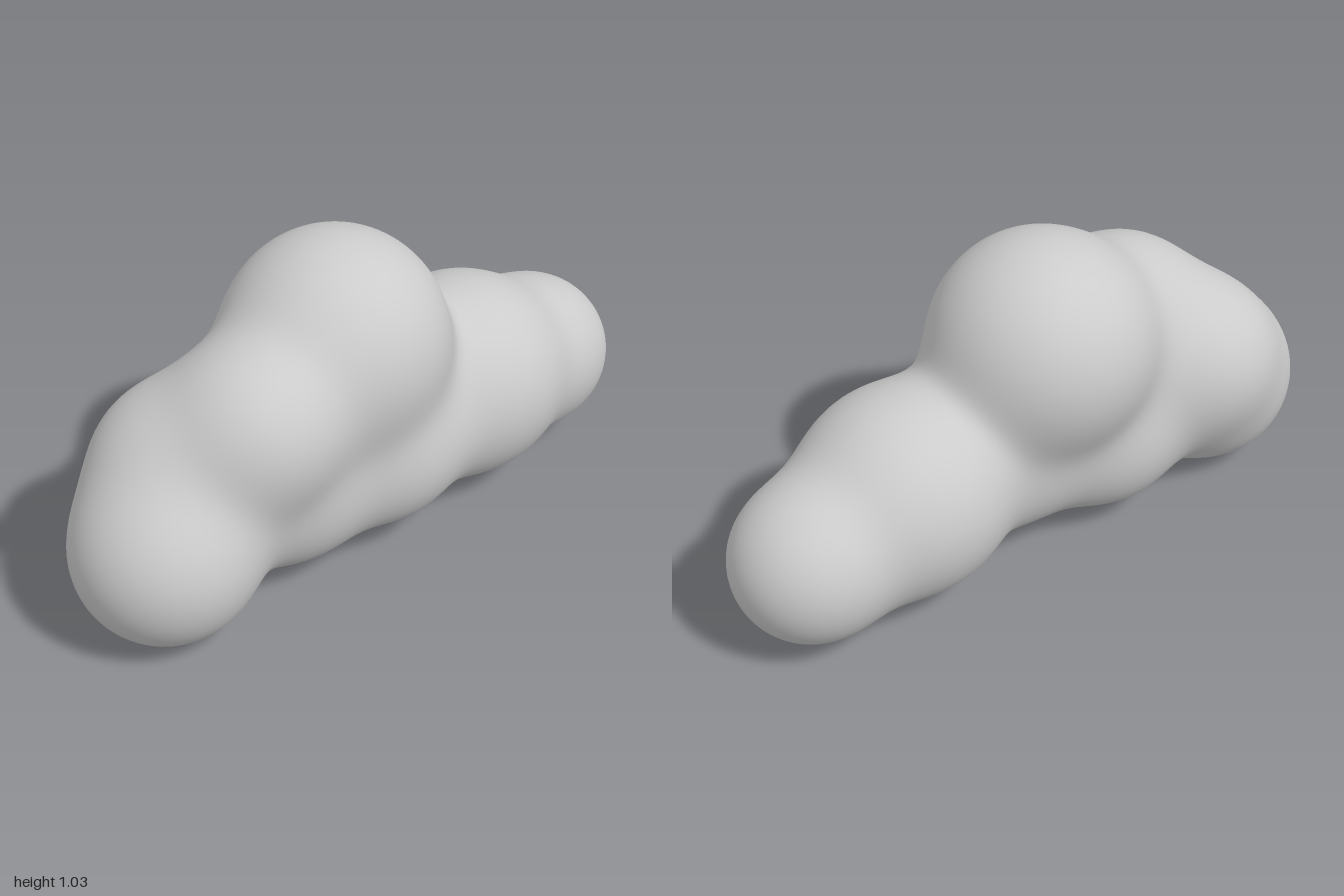
import * as THREE from 'three';

// Lobes that melt together: [x, y, z, radius]
const LOBES = [
  [0.07, 0.278, 0.725, 0.273],  // front foot lobe
  [-0.045, 0.46, 0.6, 0.238],   // front shoulder, leaning to one side
  [0.09, 0.6, 0.42, 0.244],     // upper shoulder, leaning to the other
  [-0.01, 0.697, 0.065, 0.333], // tall dome
  [0.01, 0.305, 0.28, 0.257],   // lower belly, front
  [0.05, 0.325, -0.04, 0.248],  // lower belly, middle
  [-0.028, 0.36, -0.42, 0.315], // rear hump
  [-0.08, 0.28, -0.757, 0.238], // tail lobe
];
const BLEND = 0.06;

// Soft union of all lobes, negative inside
function field(x, y, z) {
  let sum = 0;
  for (const [a, b, c, r] of LOBES) sum += Math.exp((r - Math.hypot(x - a, y - b, z - c)) / BLEND);
  return -BLEND * Math.log(sum);
}

function gradient(p) {
  const e = 0.002;
  return new THREE.Vector3(
    field(p.x + e, p.y, p.z) - field(p.x - e, p.y, p.z),
    field(p.x, p.y + e, p.z) - field(p.x, p.y - e, p.z),
    field(p.x, p.y, p.z + e) - field(p.x, p.y, p.z - e),
  ).divideScalar(2 * e);
}

// Surface net: one vertex per crossed cell, one quad per crossed grid edge
function blobGeometry(h) {
  const min = [-0.45, -0.1, -1.1];
  const n = [0.9, 1.25, 2.2].map((size) => Math.ceil(size / h) + 1);
  const step = [1, n[0], n[0] * n[1]];
  const total = n[0] * n[1] * n[2];
  const values = new Float32Array(total);
  const at = (i, j, k) => i + j * step[1] + k * step[2];
  for (let k = 0; k < n[2]; k++)
    for (let j = 0; j < n[1]; j++)
      for (let i = 0; i < n[0]; i++)
        values[at(i, j, k)] = field(min[0] + i * h, min[1] + j * h, min[2] + k * h);

  const cellVertex = new Int32Array(total).fill(-1);
  const positions = [], normals = [], index = [];
  const corner = (c) => [c & 1, (c >> 1) & 1, (c >> 2) & 1];

  for (let k = 0; k < n[2] - 1; k++)
    for (let j = 0; j < n[1] - 1; j++)
      for (let i = 0; i < n[0] - 1; i++) {
        const p = new THREE.Vector3();
        let hits = 0;
        for (let c = 0; c < 8; c++)
          for (const bit of [1, 2, 4]) {
            if (c & bit) continue;
            const a = corner(c), b = corner(c | bit);
            const va = values[at(i + a[0], j + a[1], k + a[2])];
            const vb = values[at(i + b[0], j + b[1], k + b[2])];
            if ((va < 0) === (vb < 0)) continue;
            p.add(new THREE.Vector3(...a).lerp(new THREE.Vector3(...b), va / (va - vb)));
            hits++;
          }
        if (!hits) continue;
        p.divideScalar(hits).add(new THREE.Vector3(i, j, k)).multiplyScalar(h);
        p.add(new THREE.Vector3(...min));
        // settle the vertex exactly on the surface
        for (let s = 0; s < 2; s++) {
          const g = gradient(p);
          p.addScaledVector(g, -field(p.x, p.y, p.z) / Math.max(g.lengthSq(), 0.2));
        }
        cellVertex[at(i, j, k)] = positions.length / 3;
        positions.push(p.x, p.y, p.z);
        normals.push(...gradient(p).normalize().toArray());
      }

  for (let k = 1; k < n[2] - 1; k++)
    for (let j = 1; j < n[1] - 1; j++)
      for (let i = 1; i < n[0] - 1; i++) {
        const o = at(i, j, k);
        for (let axis = 0; axis < 3; axis++) {
          const inside = values[o] < 0;
          if (inside === (values[o + step[axis]] < 0)) continue;
          const u = step[(axis + 1) % 3], v = step[(axis + 2) % 3];
          const [a, b, c, d] = [o - u - v, o - v, o, o - u].map((cell) => cellVertex[cell]);
          if (inside) index.push(a, b, c, a, c, d);
          else index.push(a, c, b, a, d, c);
        }
      }

  const geometry = new THREE.BufferGeometry();
  geometry.setAttribute('position', new THREE.Float32BufferAttribute(positions, 3));
  geometry.setAttribute('normal', new THREE.Float32BufferAttribute(normals, 3));
  geometry.setIndex(index);
  return geometry;
}

export function createModel() {
  const group = new THREE.Group();
  group.name = 'lobedBlob';
  const body = new THREE.Mesh(blobGeometry(0.022), new THREE.MeshStandardMaterial({ color: 0xcccccc }));
  body.name = 'blendedBody';
  group.add(body);
  return group;
}
